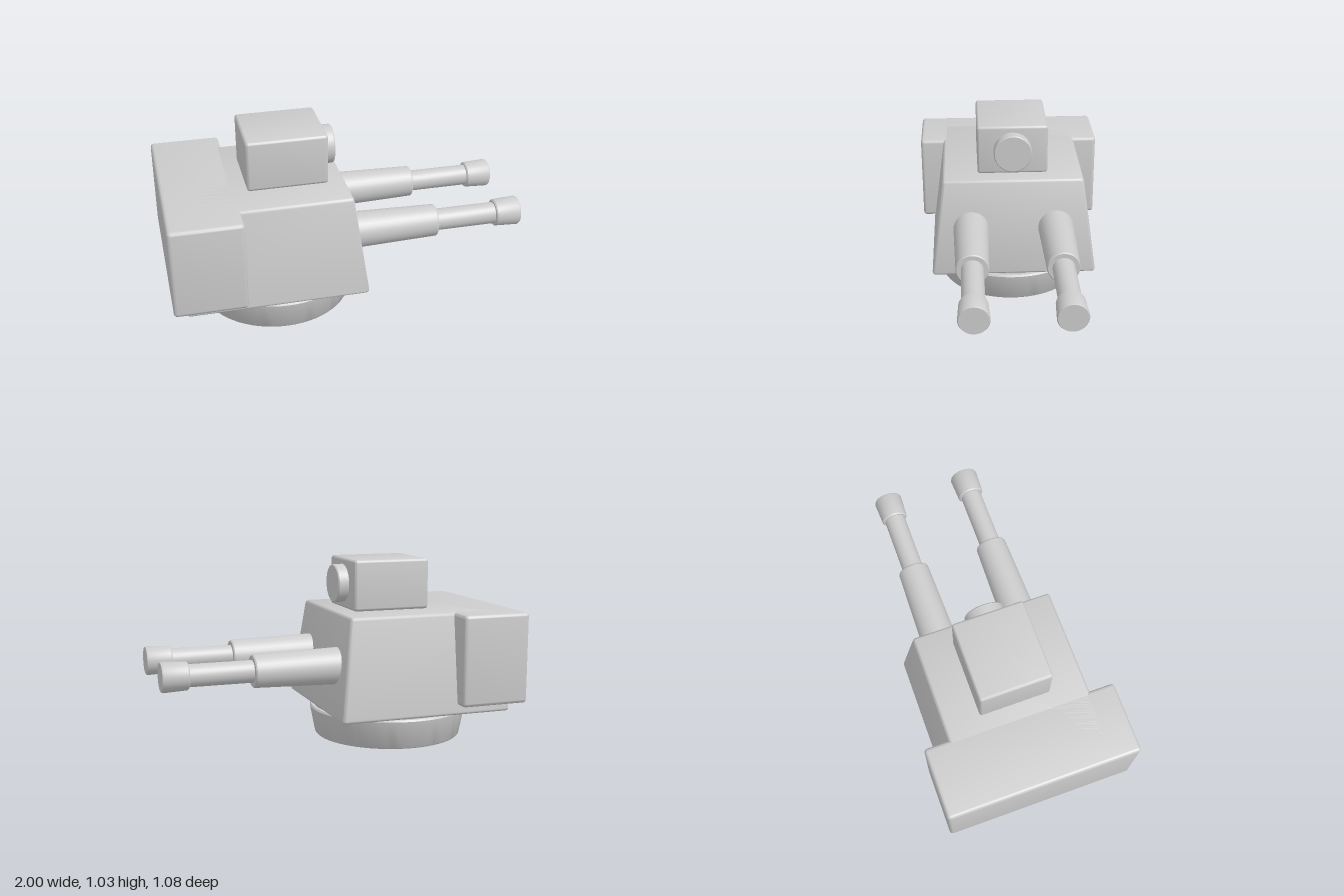
import * as THREE from 'three';
import { RoundedBoxGeometry } from 'three/addons/geometries/RoundedBoxGeometry.js';
import { toCreasedNormals } from 'three/addons/utils/BufferGeometryUtils.js';

const grey = new THREE.MeshStandardMaterial({ color: 0xcccccc });
grey.name = 'light grey';

// Mesh with smooth curves and sharp edges
function part(name, geometry, x, y, z) {
  const mesh = new THREE.Mesh(toCreasedNormals(geometry, 0.55), grey);
  mesh.name = name;
  mesh.position.set(x, y, z);
  return mesh;
}

// Box with rounded edges, given by its extents
function box(name, [x0, x1], [y0, y1], halfZ, radius) {
  const g = new RoundedBoxGeometry(x1 - x0, y1 - y0, halfZ * 2, 3, radius);
  return part(name, g, (x0 + x1) / 2, (y0 + y1) / 2, 0);
}

// Solid of revolution from [radius, height] pairs
function turned(profile, segments = 48) {
  return new THREE.LatheGeometry(profile.map(([r, h]) => new THREE.Vector2(r, h)), segments);
}

// Solid of revolution lying along +x
const turnedX = (profile, segments) => turned(profile, segments).rotateZ(-Math.PI / 2);

export function createModel() {
  const model = new THREE.Group();
  model.name = 'twinGunTurret';

  // Flared turntable with a short neck entering the hull
  model.add(part('turntable', turned([
    [0, 0], [0.418, 0], [0.425, 0.008], [0.455, 0.16], [0.448, 0.17], [0.43, 0.17], [0.43, 0.2], [0, 0.2],
  ], 64), -0.375, 0, 0));

  // Hull: rounded box narrowed towards the top
  const height = 0.565, length = 1.005;
  const hull = new RoundedBoxGeometry(length, height, 0.95, 3, 0.02);
  const p = hull.attributes.position;
  for (let i = 0; i < p.count; i++) {
    const t = p.getY(i) / height + 0.5;
    p.setX(i, p.getX(i) * (1 - 0.15 * t));
    p.setZ(i, p.getZ(i) * (1 - 0.16 * t));
  }
  model.add(part('hull', hull, -0.428, 0.18 + height / 2, 0));

  // Rear bustle and roof sight
  model.add(box('rearBustle', [-1, -0.605], [0.235, 0.745], 0.54, 0.02));
  model.add(box('sightHousing', [-0.54, -0.095], [0.745, 1.03], 0.2, 0.016));
  model.add(part('sightLens', turnedX([
    [0, 0], [0.108, 0], [0.108, 0.07], [0.103, 0.076], [0, 0.076],
  ]), -0.11, 0.887, 0));

  // Paired guns: tapered sleeve, thin barrel, muzzle
  for (const [side, z] of [['left', 0.243], ['right', -0.243]]) {
    const gun = new THREE.Group();
    gun.name = side + 'Gun';
    gun.position.set(0, 0.46, z);
    gun.add(part('sleeve', turnedX([
      [0, -0.05], [0.102, -0.05], [0.102, 0.03], [0.09, 0.5], [0.085, 0.507], [0, 0.507],
    ], 32), 0, 0, 0));
    gun.add(part('barrel', turnedX([[0, 0.48], [0.061, 0.48], [0.061, 0.88], [0, 0.88]], 32), 0, 0, 0));
    gun.add(part('muzzle', turnedX([
      [0, 0.855], [0.07, 0.855], [0.076, 0.862], [0.082, 0.99], [0.077, 1], [0, 1],
    ], 32), 0, 0, 0));
    model.add(gun);
  }
  return model;
}
